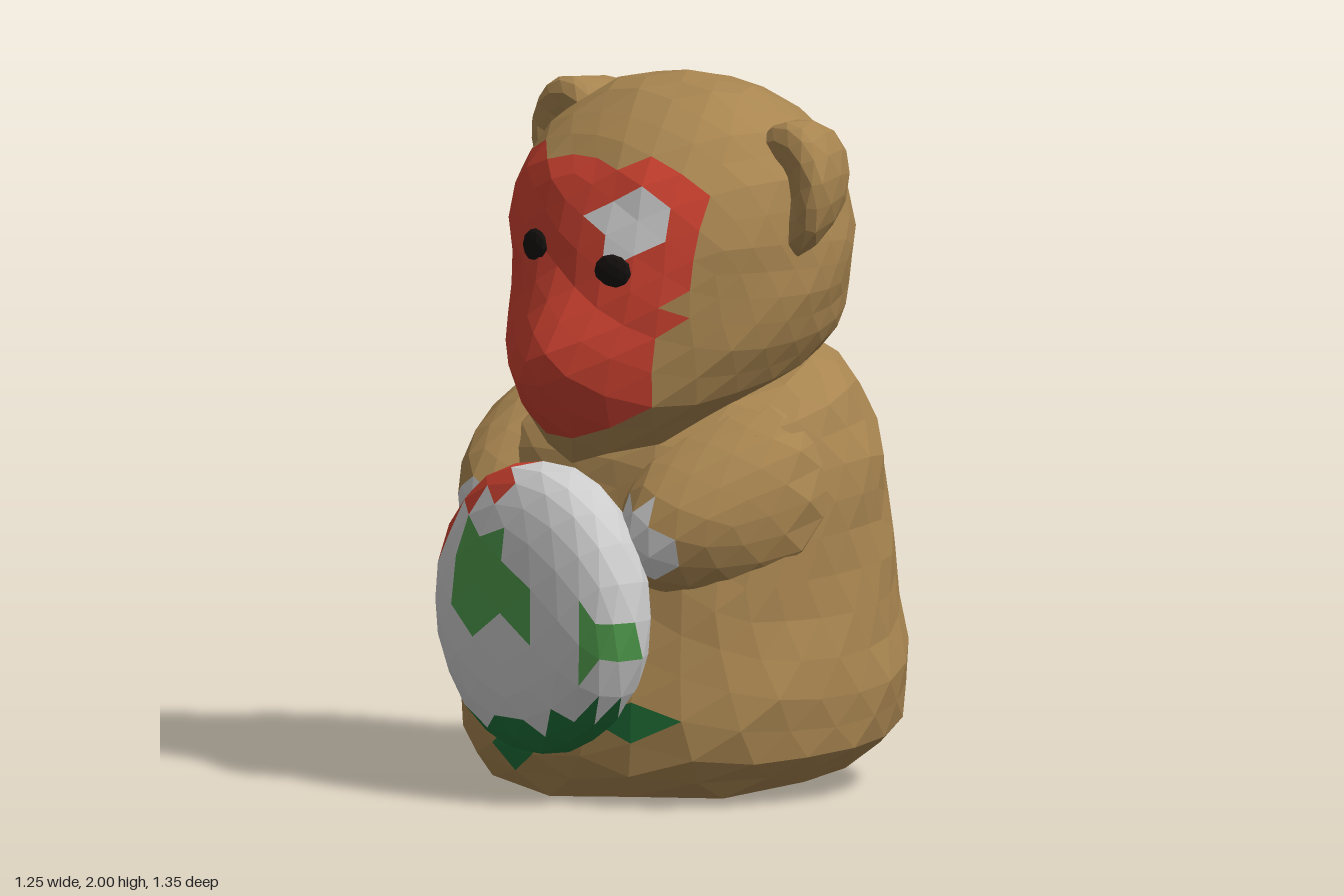
import * as THREE from 'three';

const BROWN = 0xa88550, RED = 0xc8402f, PALE = 0xcccccc, BLACK = 0x14100e;
const GREEN = 0x4f9a4c, DARK_GREEN = 0x1f7038;

const material = (color) => new THREE.MeshStandardMaterial({ color, flatShading: true });

// Faceted ball whose vertices are moved by a rule
function sculpt(detail, rule) {
  const geo = new THREE.IcosahedronGeometry(1, detail);
  const pos = geo.attributes.position, v = new THREE.Vector3();
  for (let i = 0; i < pos.count; i++) {
    rule(v.fromBufferAttribute(pos, i));
    pos.setXYZ(i, v.x, v.y, v.z);
  }
  geo.computeVertexNormals();
  return geo;
}

// Rows run from top to bottom: [yBack, yFront, zBack, zFront, halfWidth, centreX]
// The front corners of each ring are filled out by the given share
function loftRule(rows, corner) {
  return (v) => {
    const t = Math.acos(THREE.MathUtils.clamp(v.y, -1, 1)) / Math.PI * (rows.length - 1);
    const i = Math.min(Math.floor(t), rows.length - 2);
    const [yb, yf, zb, zf, w, cx] = rows[i].map((a, k) => a + (rows[i + 1][k] - a) * (t - i));
    const a = Math.atan2(v.x, v.z), f = (1 + Math.cos(a)) / 2;
    const fill = Math.cos(a) > 0 ? 1 + corner * Math.sin(2 * a) ** 2 : 1;
    v.set(cx + w * Math.sin(a) * fill, yb + (yf - yb) * f, (zb + zf) / 2 + (zf - zb) / 2 * Math.cos(a) * fill);
  };
}

// Slight hand-modelled unevenness
function uneven(v, amount) {
  const { x, y, z } = v;
  v.x += amount * Math.sin(19 * y + 13 * z);
  v.z += amount * Math.sin(17 * x + 23 * y);
}

// Splits a geometry into coloured patches; the first matching patch takes the face
function painted(name, geo, base, patches) {
  const group = new THREE.Group();
  group.name = name;
  const src = geo.attributes.position;
  const all = [...patches, [name + 'Surface', base, () => true]];
  const lists = all.map(() => []);
  const p = [0, 1, 2].map(() => new THREE.Vector3());
  for (let i = 0; i < src.count; i += 3) {
    p.forEach((q, k) => q.fromBufferAttribute(src, i + k));
    const c = p[0].clone().add(p[1]).add(p[2]).divideScalar(3);
    const n = all.findIndex(([, , test]) => test(c));
    p.forEach((q) => lists[n].push(q.x, q.y, q.z));
  }
  all.forEach(([label, color], n) => {
    if (!lists[n].length) return;
    const g = new THREE.BufferGeometry();
    g.setAttribute('position', new THREE.Float32BufferAttribute(lists[n], 3));
    g.computeVertexNormals();
    const mesh = new THREE.Mesh(g, material(color));
    mesh.name = label;
    group.add(mesh);
  });
  return group;
}

const near = (x, y, r) => (c) => Math.hypot(c.x - x, c.y - y) < r;

export function createModel() {
  const model = new THREE.Group();
  model.name = 'bearFigurine';

  // Seated body with broad shoulders and a flat, slightly tilted base
  const bodyRule = loftRule([
    [1.2, 1.2, -0.05, -0.05, 0, 0],
    [1.27, 1.06, -0.34, 0.28, 0.41, 0],
    [1.2, 0.97, -0.45, 0.38, 0.54, 0],
    [1.0, 0.84, -0.53, 0.42, 0.595, 0],
    [0.8, 0.7, -0.57, 0.43, 0.59, 0],
    [0.55, 0.5, -0.61, 0.47, 0.6, 0],
    [0.33, 0.3, -0.645, 0.53, 0.63, 0],
    [0.18, 0.11, -0.63, 0.53, 0.605, 0],
    [0.08, 0.0, -0.5, 0.46, 0.49, 0],
    [0.04, 0.04, -0.02, -0.02, 0, 0],
  ], 0.06);
  const body = sculpt(5, (v) => { bodyRule(v); uneven(v, 0.005); });
  model.add(painted('body', body, BROWN, [
    ['bodyGreenPaint', DARK_GREEN, (c) => c.z > 0.3 && (near(-0.08, 0.14, 0.09)(c) || near(0.36, 0.25, 0.08)(c))],
  ]));

  // Arms grow out of the shoulders and reach forward to the ball
  for (const side of [1, -1]) {
    const arm = sculpt(3, (v) => {
      const z = v.z * 0.42;
      const inward = z > 0 ? 0.14 * z : -0.25 * z;
      v.set(side * (0.385 - inward) + v.x * 0.235, 0.87 - side * 0.015 + v.y * 0.265 - 0.25 * z, 0.05 + z);
      uneven(v, 0.005);
    });
    model.add(painted(side > 0 ? 'leftArm' : 'rightArm', arm, BROWN, [
      ['handPaint', PALE, (c) => c.z > 0.33 && near(side * 0.34, 0.75, 0.1)(c)],
    ]));
  }

  // Head with a broad raised muzzle and a painted face
  const headRule = loftRule([
    [2.0, 2.0, 0.01, 0.01, 0, 0.06],
    [1.97, 1.97, -0.15, 0.18, 0.21, 0.06],
    [1.87, 1.86, -0.32, 0.34, 0.37, 0.06],
    [1.72, 1.74, -0.42, 0.44, 0.45, 0.06],
    [1.55, 1.58, -0.445, 0.49, 0.465, 0.07],
    [1.42, 1.42, -0.435, 0.5, 0.45, 0.08],
    [1.32, 1.26, -0.41, 0.51, 0.425, 0.08],
    [1.25, 1.08, -0.35, 0.51, 0.35, 0.09],
    [1.18, 0.94, -0.2, 0.46, 0.21, 0.1],
    [1.08, 1.08, 0.15, 0.15, 0, 0.1],
  ], 0.05);
  const head = sculpt(5, (v) => {
    headRule(v);
    if (v.z > 0.2) v.z += 0.125 * Math.exp(-((v.x - 0.12) ** 2) / 0.05 - ((v.y - 1.23) ** 2) / 0.03);
    uneven(v, 0.005);
  });
  model.add(painted('head', head, BROWN, [
    ['eyePatch', PALE, (c) => c.z > 0.2 && near(0.28, 1.62, 0.09)(c)],
    ['face', RED, (c) => c.y > 1.03 && c.y < 1.8 && c.x > -0.27 && c.x < 0.48
      && c.z > 0.27 + (1.8 - c.y) * 0.25],
  ]));

  // Eyes
  for (const [name, x, y, z] of [['rightEye', -0.04, 1.54, 0.48], ['leftEye', 0.27, 1.5, 0.47]]) {
    const eye = new THREE.Mesh(new THREE.IcosahedronGeometry(1, 1), material(BLACK));
    eye.name = name;
    eye.scale.set(0.06, 0.05, 0.022);
    eye.position.set(x, y, z);
    eye.rotation.y = (x - 0.08) * 1.5;
    model.add(eye);
  }

  // Ears: hollowed in front, flowing back into the side of the head
  const ears = [
    ['leftEar', 1, 0.47, 1.7, 0.01, 0.155, 0.2, -0.2],
    ['rightEar', -1, -0.325, 1.78, 0.1, 0.145, 0.17, 0.12],
  ];
  for (const [name, side, x, y, z, rx, ry, tilt] of ears) {
    const ear = new THREE.Mesh(sculpt(2, (v) => {
      const hollow = v.z > 0 ? Math.max(0, 0.8 - Math.hypot(v.x, v.y)) * 0.1 : 0;
      const back = Math.min(v.z, 0);
      v.set(v.x * rx + side * back * 0.12, v.y * ry, back * 0.3 + Math.max(v.z, 0) * 0.07 - hollow);
    }), material(BROWN));
    ear.name = name;
    ear.position.set(x, y, z);
    ear.rotation.z = tilt;
    model.add(ear);
  }

  // Flattened painted ball held in front
  const ball = sculpt(3, (v) => {
    const rho = Math.hypot(v.x, v.y), k = rho > 0 ? Math.pow(rho, 0.85) / rho : 0;
    v.set(0.03 + v.x * k * 0.385, 0.54 + v.y * k * 0.41, 0.515 + Math.sign(v.z) * Math.abs(v.z) ** 0.7 * 0.16);
  });
  model.add(painted('ball', ball, PALE, [
    ['ballRedPaint', RED, (c) => c.x < -0.02 && c.y > 0.52 && Math.hypot(c.x - 0.03, c.y - 0.54) > 0.33],
    ['ballDarkGreenPaint', DARK_GREEN, (c) => c.y < 0.23 || (c.y < 0.3 && c.x > 0.2)],
    ['ballGreenPaint', GREEN, (c) => c.z > 0.5 && (near(-0.08, 0.63, 0.13)(c) || near(0.02, 0.58, 0.1)(c) || near(0.35, 0.48, 0.07)(c))],
  ]));

  // Tail curled in an arch against the lower back, its ends sunk into the body
  const tailPath = new THREE.CatmullRomCurve3([
    [-0.05, 0.17, -0.53], [-0.12, 0.27, -0.6], [-0.27, 0.32, -0.535],
    [-0.42, 0.29, -0.43], [-0.5, 0.22, -0.31], [-0.45, 0.17, -0.2],
  ].map((p) => new THREE.Vector3(...p)));
  const tail = new THREE.Mesh(new THREE.TubeGeometry(tailPath, 10, 0.08, 7), material(BROWN));
  tail.name = 'tail';
  model.add(tail);

  return model;
}
